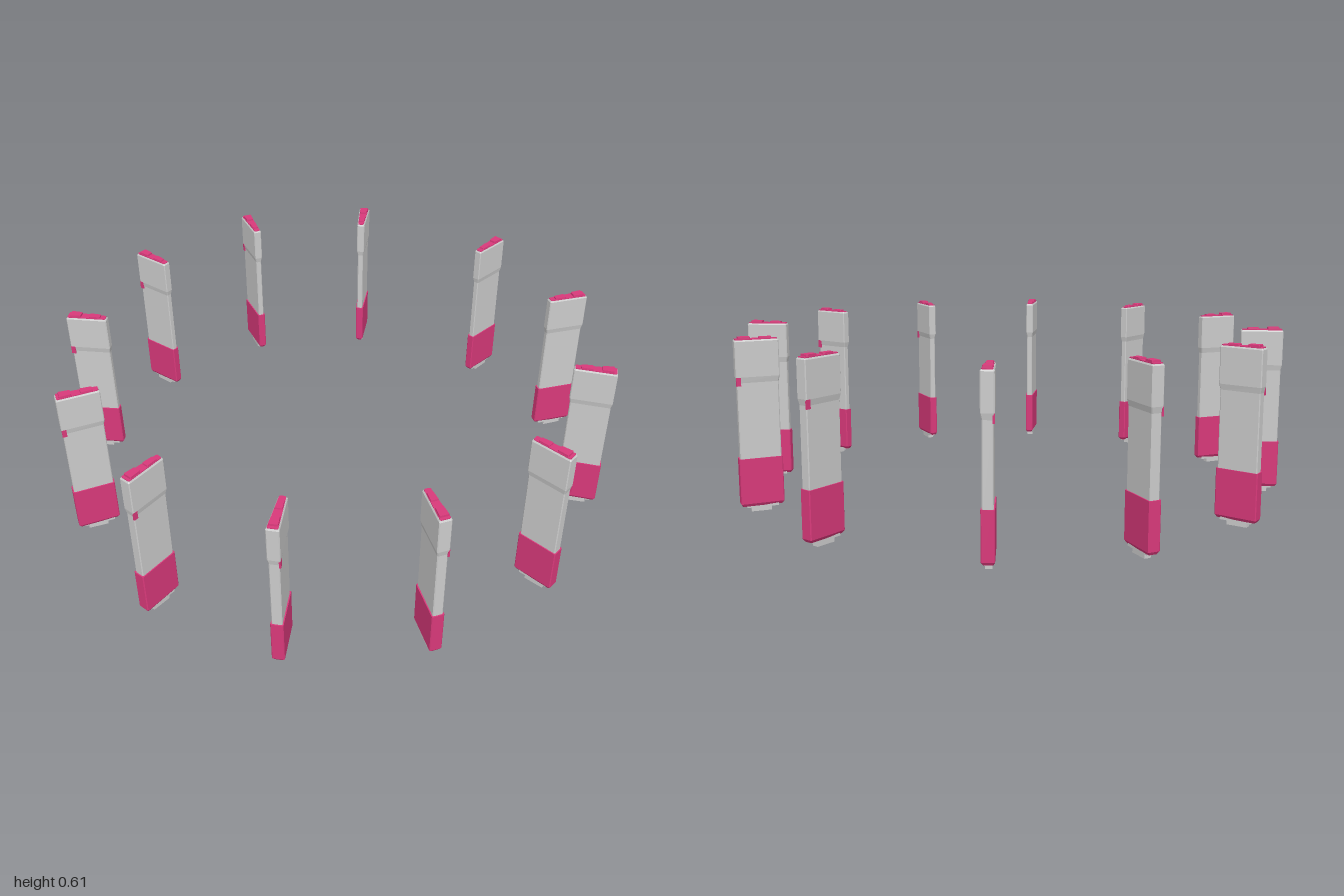
import * as THREE from 'three';

const grey = new THREE.MeshStandardMaterial({ color: 0xcccccc, flatShading: true });
const pink = new THREE.MeshStandardMaterial({ color: 0xd8397a, flatShading: true });

const INNER = 0.85, OUTER = 1.0;

// Half thickness of the wedge at a given radius (thicker toward the outside)
const halfAt = (r) => 0.015 + 0.0065 * (r - INNER) / (OUTER - INNER);

// Corner-cut wedge outline between two radii, drawn in by an inset
function outline(r0, r1, inset, cut) {
  const a = r0 + inset, b = r1 - inset;
  const ha = halfAt(r0) - inset, hb = halfAt(r1) - inset;
  return [
    [a + cut, -ha], [b - cut, -hb], [b, -hb + cut], [b, hb - cut],
    [b - cut, hb], [a + cut, ha], [a, ha - cut], [a, -ha + cut],
  ];
}

// Closed solid through stacked outlines; levels are [y, inset]
function loft(levels, r0 = INNER, r1 = OUTER, cut = 0.003) {
  const pos = [], idx = [], n = 8;
  for (const [y, inset] of levels)
    for (const [x, z] of outline(r0, r1, inset, cut)) pos.push(x, y, z);
  for (let l = 0; l < levels.length - 1; l++)
    for (let i = 0; i < n; i++) {
      const a = l * n + i, b = l * n + (i + 1) % n;
      idx.push(a, a + n, b, b, a + n, b + n);
    }
  const top = (levels.length - 1) * n;
  for (let i = 1; i < n - 1; i++) {
    idx.push(0, i, i + 1);
    idx.push(top, top + i + 1, top + i);
  }
  const g = new THREE.BufferGeometry();
  g.setAttribute('position', new THREE.Float32BufferAttribute(pos, 3));
  g.setIndex(idx);
  const flat = g.toNonIndexed();
  flat.computeVertexNormals();
  return flat;
}

const box = (w, h, d, x, y, z) => new THREE.BoxGeometry(w, h, d).translate(x, y, z);

// Geometry shared by every panel
const parts = [
  ['lowerSleeve', loft([[0.02, 0.006], [0.03, 0], [0.19, 0]]), pink],
  ['body', loft([[0.185, 0.004], [0.455, 0.004], [0.475, 0], [0.597, 0], [0.602, 0.003]]), grey],
  ['topCap', loft([[0.598, 0.004], [0.605, 0.004]]), pink],
  ['outerTopRidge', loft([[0.603, 0.005], [0.612, 0.006]], 0.94, 0.992, 0.002), pink],
  ['innerTopRidge', loft([[0.603, 0.005], [0.61, 0.006]], 0.868, 0.92, 0.002), pink],
  ['sideTab', box(0.016, 0.03, 0.006, 0.991, 0.46, -0.0185), pink],
  ['footPlug', box(0.07, 0.03, 0.022, 0.93, 0.015, 0), grey],
  ['footCollar', box(0.11, 0.012, 0.024, 0.925, 0.02, 0), grey],
];

function createPanel() {
  const panel = new THREE.Group();
  for (const [name, geometry, material] of parts) {
    const mesh = new THREE.Mesh(geometry, material);
    mesh.name = name;
    panel.add(mesh);
  }
  return panel;
}

export function createModel() {
  const model = new THREE.Group();
  model.name = 'panelRing';
  // Twelve radial panels with one slightly wider gap at the back
  for (let i = 0; i < 12; i++) {
    const panel = createPanel();
    panel.name = `panel${i + 1}`;
    panel.rotation.y = -THREE.MathUtils.degToRad(-95.5 + 29.5 * i);
    model.add(panel);
  }
  return model;
}
